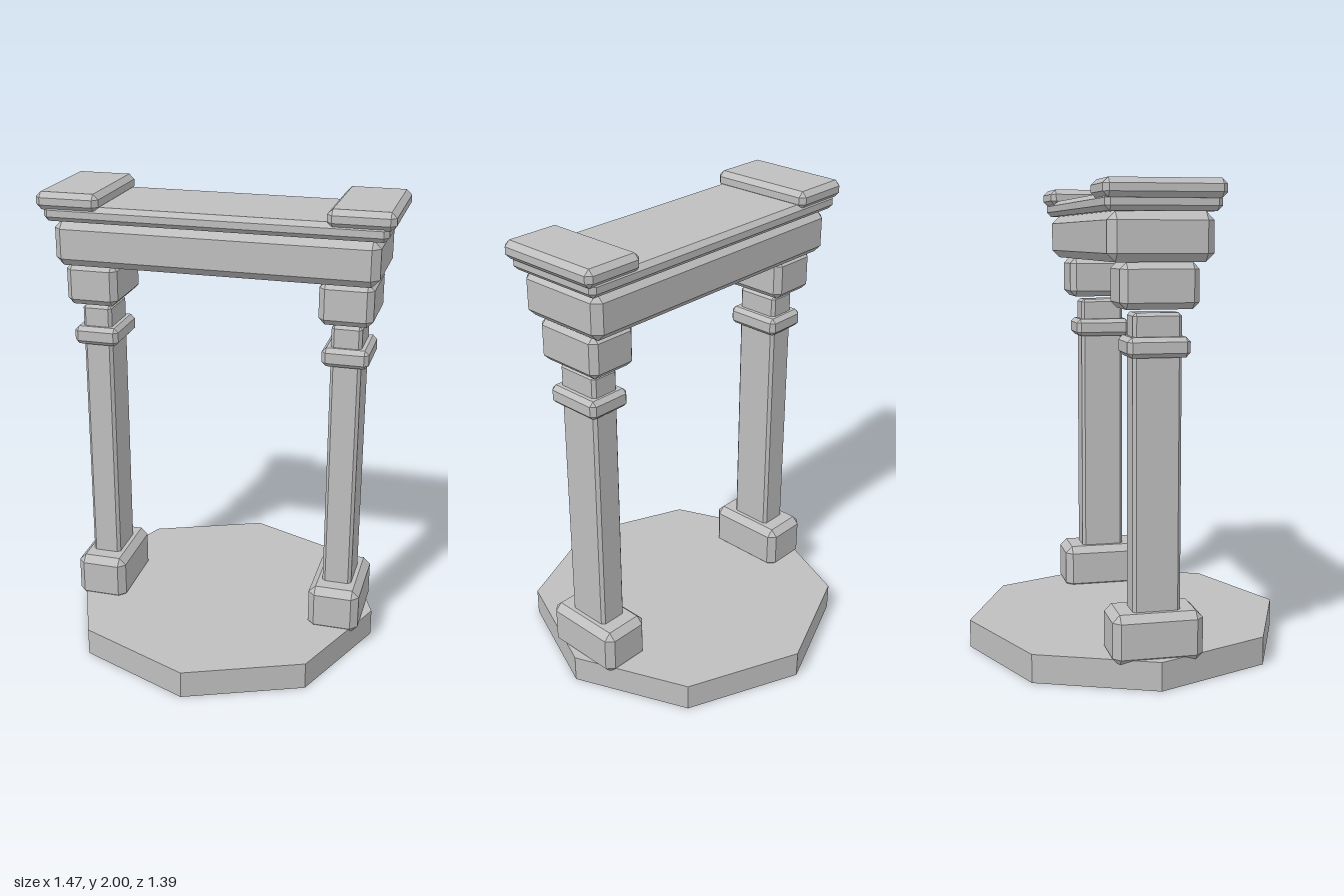
import * as THREE from 'three';
import { ConvexGeometry } from 'three/addons/geometries/ConvexGeometry.js';

const stone = new THREE.MeshStandardMaterial({ color: 0xbebebe });
stone.name = 'stone';

function add(parent, name, geometry) {
  const mesh = new THREE.Mesh(geometry, stone);
  mesh.name = name;
  parent.add(mesh);
  return mesh;
}

// Box with chamfered edges, from half width, bottom, top, half depth and bevel
function block(parent, name, hx, y0, y1, hz, bevel) {
  const hy = (y1 - y0) / 2;
  const points = [];
  for (const sx of [-1, 1]) for (const sy of [-1, 1]) for (const sz of [-1, 1]) {
    for (const [bx, by, bz] of [[0, 1, 1], [1, 0, 1], [1, 1, 0]]) {
      points.push(new THREE.Vector3(
        sx * (hx - bx * bevel), sy * (hy - by * bevel), sz * (hz - bz * bevel)));
    }
  }
  const mesh = add(parent, name, new ConvexGeometry(points));
  mesh.position.y = (y0 + y1) / 2;
  return mesh;
}

export function createModel() {
  const model = new THREE.Group();
  model.name = 'stoneGateway';

  // Octagonal floor slab with corners on the axes
  const slab = new THREE.CylinderGeometry(0.693, 0.693, 0.12, 8).toNonIndexed();
  slab.computeVertexNormals();
  add(model, 'floorSlab', slab).position.y = 0.06;

  // Arrow marker lying on the floor, pointing to the back
  const arrow = new THREE.Shape([
    new THREE.Vector2(0, -0.115), new THREE.Vector2(-0.193, -0.403),
    new THREE.Vector2(0, -0.3), new THREE.Vector2(0.193, -0.403),
  ]);
  const arrowMesh = add(model, 'floorArrow', new THREE.ShapeGeometry(arrow));
  arrowMesh.rotation.x = -Math.PI / 2;
  arrowMesh.position.y = 0.121;

  // Two square columns
  for (const side of [-1, 1]) {
    const column = new THREE.Group();
    column.name = side > 0 ? 'leftColumn' : 'rightColumn';
    column.position.x = side * 0.542;
    block(column, 'foot', 0.112, 0.095, 0.302, 0.186, 0.03);
    block(column, 'shaft', 0.064, 0.2, 1.493, 0.098, 0.013);
    block(column, 'collar', 0.098, 1.32, 1.4, 0.126, 0.018);
    block(column, 'capital', 0.112, 1.507, 1.687, 0.157, 0.026);
    model.add(column);
  }

  // Lintel, cornice and the raised end caps
  block(model, 'lintel', 0.678, 1.687, 1.878, 0.21, 0.033);
  block(model, 'cornice', 0.71, 1.878, 1.946, 0.228, 0.02);
  for (const side of [-1, 1]) {
    const cap = block(model, side > 0 ? 'leftEndCap' : 'rightEndCap', 0.135, 1.926, 2, 0.24, 0.022);
    cap.position.x = side * 0.602;
  }
  return model;
}
